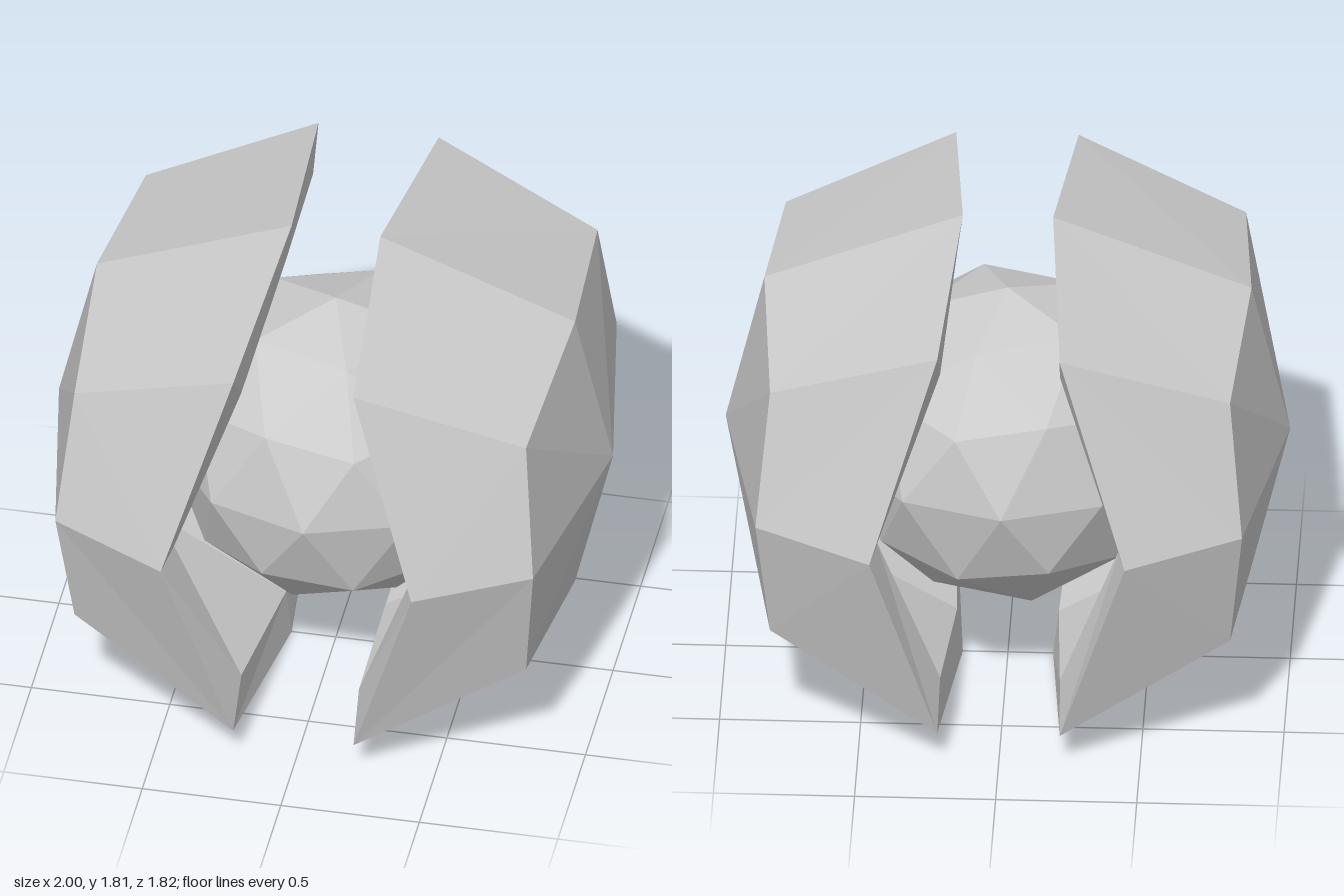
import * as THREE from 'three';

// Eight points around one shell loop, mirrored from its top, corner and side points.
function loop({ cy, top, corner, side }) {
  const [tx, th] = top, [kx, kh, kz] = corner, [sx, sz] = side;
  return [
    [tx, cy + th, 0], [kx, cy + kh, kz], [sx, cy, sz], [kx, cy - kh, kz],
    [tx, cy - th, 0], [kx, cy - kh, -kz], [sx, cy, -sz], [kx, cy + kh, -kz],
  ];
}

// Faceted half shell: outer panel, outer wall, rim, cavity wall, cavity floor.
function shellGeometry(sign) {
  const loops = [
    { cy: 0.96, top: [0.863, 0.578], corner: [0.815, 0.493, 0.647], side: [0.862, 0.758] },
    { cy: 0.907, top: [0.16, 0.905], corner: [0.217, 0.775, 0.772], side: [0.452, 0.908] },
    { cy: 0.918, top: [0.18, 0.74], corner: [0.212, 0.63, 0.65], side: [0.432, 0.765] },
    { cy: 0.925, top: [0.64, 0.48], corner: [0.6, 0.42, 0.55], side: [0.64, 0.65] },
  ].map(loop);
  const outerCentre = [1, 0.96, 0], innerCentre = [0.76, 0.925, 0];
  const pos = [];
  const tri = (a, b, c) => {
    for (const p of sign > 0 ? [a, c, b] : [a, b, c]) pos.push(p[0] * sign, p[1], p[2]);
  };
  const quad = (a, b, c, d) => { tri(a, b, c); tri(a, c, d); };

  // Walls between neighbouring loops
  for (let r = 0; r < 3; r++) {
    for (let i = 0; i < 8; i++) {
      const j = (i + 1) % 8;
      quad(loops[r][i], loops[r][j], loops[r + 1][j], loops[r + 1][i]);
    }
  }
  // Four facets each for the outer panel and the cavity floor
  for (let i = 0; i < 8; i += 2) {
    const j = i + 1, k = (i + 2) % 8;
    quad(outerCentre, loops[0][k], loops[0][j], loops[0][i]);
    quad(innerCentre, loops[3][i], loops[3][j], loops[3][k]);
  }
  const g = new THREE.BufferGeometry();
  g.setAttribute('position', new THREE.Float32BufferAttribute(pos, 3));
  g.computeVertexNormals();
  return g;
}

export function createModel() {
  const group = new THREE.Group();
  group.name = 'splitShellOrb';
  const material = new THREE.MeshStandardMaterial({ color: 0xcccccc, flatShading: true });

  for (const [name, sign] of [['leftShell', 1], ['rightShell', -1]]) {
    const shell = new THREE.Mesh(shellGeometry(sign), material);
    shell.name = name;
    group.add(shell);
  }

  // Low-poly core ball, turned so one corner points straight up
  const ball = new THREE.IcosahedronGeometry(0.602, 1);
  ball.rotateX(-Math.atan2((1 + Math.sqrt(5)) / 2, 1));
  ball.rotateY(Math.PI / 10);
  const core = new THREE.Mesh(ball, material);
  core.name = 'core';
  core.position.y = 0.914;
  group.add(core);

  return group;
}
